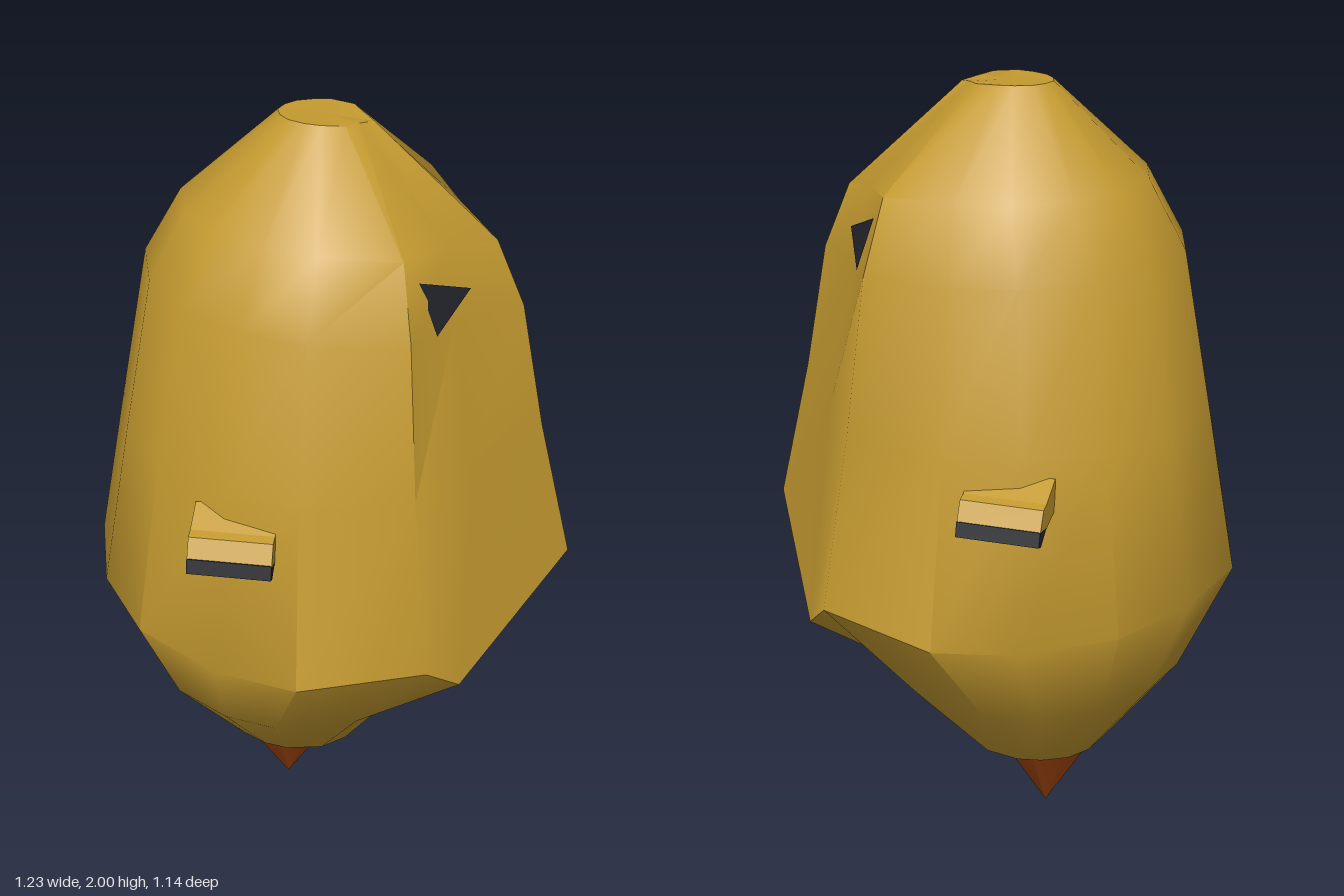
import * as THREE from 'three';
import { toCreasedNormals } from 'three/addons/utils/BufferGeometryUtils.js';

const material = (name, color) => {
  const m = new THREE.MeshStandardMaterial({ color });
  m.name = name;
  return m;
};

// Body levels, top to bottom: extents in x, half width, heights of the ends,
// and the cheek point (x share, z share, y offset) that shapes the keeled front
const LEVELS = [
  { b: -0.13, f: 0.10, z: 0.08, yb: 2.0, ys: 2.0, yf: 1.985, cheek: [0.73, 0.42, 0] },
  { b: -0.37, f: 0.40, z: 0.32, yb: 1.78, ys: 1.78, yf: 1.70, cheek: [0.72, 0.4, 0] },
  { b: -0.465, f: 0.47, z: 0.40, yb: 1.61, ys: 1.6, yf: 1.53, cheek: [0.68, 0.42, 0] },
  { b: -0.54, f: 0.53, z: 0.48, yb: 1.2, ys: 1.2, yf: 1.2, cheek: [0.71, 0.48, 0] },
  { b: -0.615, f: 0.615, z: 0.57, yb: 0.78, ys: 0.73, yf: 0.83, cheek: [0.62, 0.7, -0.1] },
  { b: -0.48, f: 0.315, z: 0.41, yb: 0.48, ys: 0.48, yf: 0.48, cheek: [0.75, 0.5, 0] },
  { b: -0.28, f: 0.085, z: 0.17, yb: 0.22, ys: 0.22, yf: 0.2, cheek: [0.8, 0.5, 0] },
  { b: -0.2, f: 0.04, z: 0.08, yb: 0.2, ys: 0.17, yf: 0.15, cheek: [0.8, 0.5, 0] },
];

function ring({ b, f, z, yb, ys, yf, cheek }) {
  const cx = (b + f) / 2, rx = (f - b) / 2;
  const half = [[-1, 0], [-0.9, 0.4], [-0.69, 0.72], [-0.34, 0.93], [0, 1], [0.5, 0.85], cheek, [1, 0]];
  const points = half.map(([u, w, dy = 0]) => new THREE.Vector3(
    cx + u * rx, THREE.MathUtils.lerp(ys, u < 0 ? yb : yf, u * u) + dy, w * z));
  const mirrored = points.slice(1, -1).reverse().map(p => new THREE.Vector3(p.x, p.y, -p.z));
  return points.concat(mirrored);
}

function bodyGeometry() {
  const rings = LEVELS.map(ring);
  const n = rings[0].length, out = [];
  const tri = (...points) => points.forEach(p => out.push(p.x, p.y, p.z));
  const middle = r => r.reduce((s, p) => s.add(p), new THREE.Vector3()).divideScalar(n);
  const top = rings[0], bottom = rings[rings.length - 1];
  const topMiddle = middle(top), bottomMiddle = middle(bottom);
  for (let j = 0; j < n; j++) {
    const k = (j + 1) % n;
    tri(topMiddle, top[j], top[k]);
    tri(bottomMiddle, bottom[k], bottom[j]);
    for (let i = 0; i + 1 < rings.length; i++) {
      const upper = rings[i], lower = rings[i + 1];
      tri(upper[j], lower[j], upper[k]);
      tri(upper[k], lower[j], lower[k]);
    }
  }
  const g = new THREE.BufferGeometry();
  g.setAttribute('position', new THREE.Float32BufferAttribute(out, 3));
  return toCreasedNormals(g, 0.75);
}

// Prism along x from a profile given as [outward distance, height]
function sidePrism(profile, x0, x1, side) {
  const shape = new THREE.Shape(profile.map(p => new THREE.Vector2(...p)));
  const g = new THREE.ExtrudeGeometry(shape, { depth: x1 - x0, bevelEnabled: false });
  g.rotateY(-side * Math.PI / 2);
  g.translate(side > 0 ? x1 : x0, 0, 0);
  return g;
}

export function createModel() {
  const gold = material('gold', 0xc49a30);
  const rust = material('rust', 0xa0450f);
  const black = material('black', 0x23252b);
  black.side = THREE.DoubleSide;

  const model = new THREE.Group();
  const add = (name, geometry, mat) => {
    const mesh = new THREE.Mesh(geometry, mat);
    mesh.name = name;
    model.add(mesh);
    return mesh;
  };

  add('body', bodyGeometry(), gold);

  // Pointed tip under the body
  const tip = new THREE.ConeGeometry(0.155, 0.25, 10);
  tip.rotateX(Math.PI);
  tip.translate(-0.125, 0.125, 0);
  add('bottomTip', tip, rust);

  for (const side of [1, -1]) {
    const label = side > 0 ? 'front' : 'back';

    // Triangular eye lying on the cheek
    const eye = new THREE.BufferGeometry().setFromPoints([
      new THREE.Vector3(0.24, 1.70, side * 0.252),
      new THREE.Vector3(0.287, 1.565, side * 0.252),
      new THREE.Vector3(0.35, 1.63, side * 0.122),
    ]);
    eye.setIndex(side > 0 ? [0, 1, 2] : [0, 2, 1]);
    eye.computeVertexNormals();
    add(label + 'Eye', eye, black);

    // Small sloping flap with a dark lower edge
    add(label + 'Flap', sidePrism(
      [[0.42, 1.08], [0.5, 1.06], [0.542, 1.07], [0.515, 1.12], [0.49, 1.125], [0.42, 1.16]],
      -0.265, -0.06, side), gold);
    add(label + 'FlapEdge', sidePrism(
      [[0.49, 1.065], [0.535, 1.035], [0.553, 1.04], [0.543, 1.075]],
      -0.265, -0.06, side), black);
  }
  return model;
}
